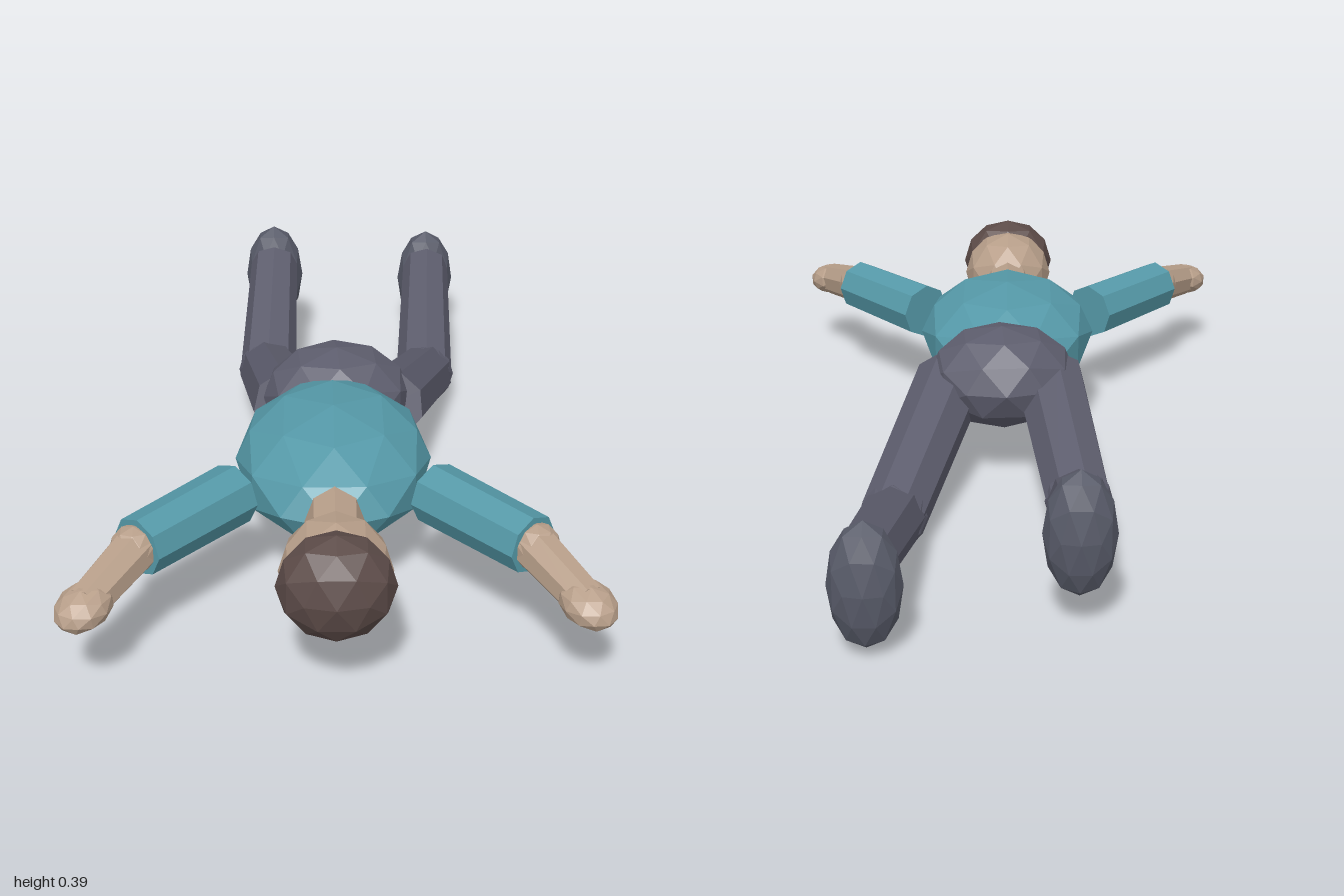
import * as THREE from 'three';

const mat = (name, color) => Object.assign(new THREE.MeshStandardMaterial({ color }), { name });
const V = (x, y, z) => new THREE.Vector3(x, y, z);
const UP = V(0, 1, 0);

// Facet normals for the low-poly look
function flat(geo) {
  const g = geo.index ? geo.toNonIndexed() : geo;
  g.computeVertexNormals();
  return g;
}

export function createModel() {
  const model = new THREE.Group();
  model.name = 'proneFigure';

  const shirt = mat('shirt teal', 0x5599a8);
  const trousers = mat('trousers grey', 0x5d5d6d);
  const shoes = mat('shoe grey', 0x585b69);
  const skin = mat('skin', 0xb89f8a);
  const hair = mat('hair brown', 0x5c4b48);
  const eyes = mat('eye dark', 0x352c2b);

  function add(name, geo, material) {
    const mesh = new THREE.Mesh(geo, material);
    mesh.name = name;
    model.add(mesh);
    return mesh;
  }

  // Faceted ellipsoid, its own up axis laid along +z
  function blob(name, c, rx, ry, rz, material, detail = 1) {
    const geo = new THREE.IcosahedronGeometry(1, detail);
    geo.rotateX(Math.PI / 2).scale(rx, ry, rz);
    const mesh = add(name, flat(geo), material);
    mesh.position.copy(c);
    return mesh;
  }

  // Eight-sided tapered limb between two points
  function limb(name, a, b, ra, rb, material) {
    const dir = b.clone().sub(a);
    const geo = flat(new THREE.CylinderGeometry(rb, ra, dir.length(), 8));
    const mesh = add(name, geo, material);
    mesh.position.copy(a).addScaledVector(dir, 0.5);
    mesh.quaternion.setFromUnitVectors(UP, dir.normalize());
    return mesh;
  }

  // Trunk
  blob('torso', V(0, 0.258, 0.334), 0.228, 0.138, 0.32, shirt);
  blob('pelvis', V(0.012, 0.26, 0.01), 0.185, 0.128, 0.16, trousers).rotation.y = 0.08;

  // Head
  limb('neck', V(0, 0.262, 0.56), V(0, 0.262, 0.75), 0.067, 0.064, skin);
  blob('head', V(0, 0.262, 0.828), 0.122, 0.117, 0.146, skin);
  blob('hair', V(0, 0.274, 0.905), 0.127, 0.121, 0.095, hair);

  for (const s of [1, -1]) {
    const side = s > 0 ? 'left' : 'right';
    blob(side + 'Eye', V(s * 0.044, 0.157, 0.85), 0.015, 0.015, 0.015, eyes, 0);

    // Arms spread forward beside the head
    const shoulder = V(s * 0.225, 0.257, 0.495);
    const elbow = V(s * 0.425, 0.257, 0.722);
    const hand = V(s * 0.522, 0.22, 0.893);
    limb(side + 'UpperArm', shoulder, elbow, 0.072, 0.068, shirt);
    blob(side + 'Elbow', V(s * 0.43, 0.257, 0.727), 0.054, 0.054, 0.054, skin);
    limb(side + 'Forearm', elbow, hand, 0.052, 0.044, skin);
    const palm = blob(side + 'Hand', hand, 0.058, 0.043, 0.074, skin);
    palm.lookAt(hand.clone().multiplyScalar(2).sub(elbow));
  }

  // Legs bent at the knee, the feet hanging toes down
  const legs = [
    ['left', V(0.143, 0.235, 0.025), V(0.26, 0.087, -0.45), V(0.286, 0.213, -0.91), V(0.286, 0.168, -0.934)],
    ['right', V(-0.108, 0.24, 0.03), V(-0.169, 0.115, -0.425), V(-0.157, 0.276, -0.79), V(-0.157, 0.23, -0.822)],
  ];
  for (const [side, hip, knee, ankle, foot] of legs) {
    limb(side + 'Thigh', hip, knee, 0.088, 0.079, trousers);
    blob(side + 'Knee', knee, 0.08, 0.08, 0.08, trousers);
    limb(side + 'Shin', knee, ankle, 0.076, 0.065, trousers);
    blob(side + 'Foot', foot, 0.08, 0.146, 0.062, shoes);
  }

  return model;
}
